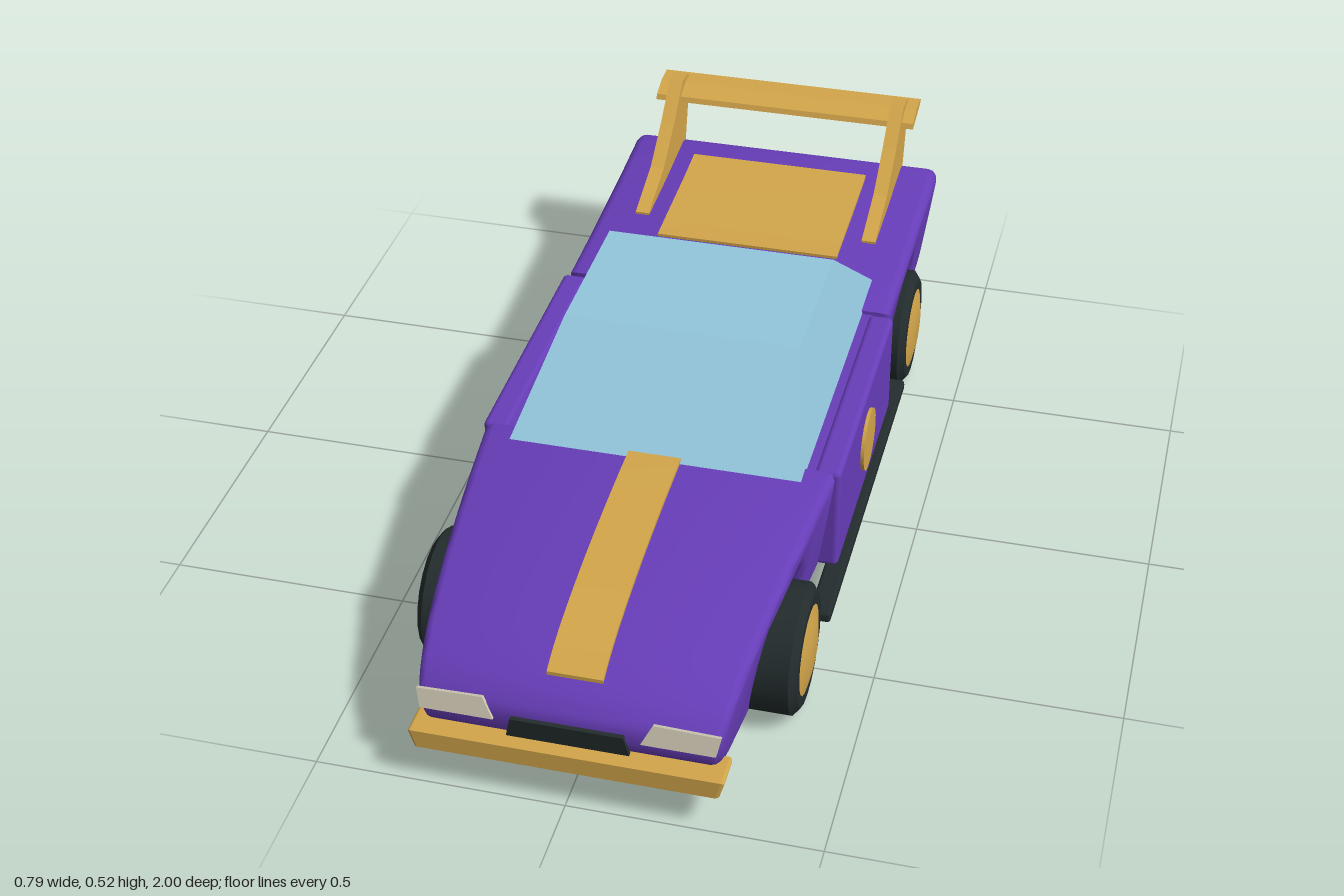
import * as THREE from 'three';
import { toCreasedNormals } from 'three/addons/utils/BufferGeometryUtils.js';
import { RoundedBoxGeometry } from 'three/addons/geometries/RoundedBoxGeometry.js';

const mat = (name, color) => {
  const m = new THREE.MeshStandardMaterial({ color });
  m.name = name;
  return m;
};
const V = (p) => new THREE.Vector2(p[0], p[1]);

export function createModel() {
  const car = new THREE.Group();
  car.name = 'car';
  const purple = mat('purplePaint', 0x673db8);
  const gold = mat('goldPaint', 0xd2a54a);
  const glass = mat('blueGlass', 0x93c6dc);
  const dark = mat('darkRubber', 0x232c2d);
  const cream = mat('creamLamp', 0xcfc9b4);

  const add = (name, geo, material, x = 0, y = 0, z = 0, parent = car) => {
    const m = new THREE.Mesh(geo, material);
    m.name = name;
    m.position.set(x, y, z);
    parent.add(m);
    return m;
  };

  // Extrudes a (z, y) side profile across x, centred on x = 0
  const across = (pts, width, bevel = 0) => {
    const geo = new THREE.ExtrudeGeometry(new THREE.Shape(pts.map(V)), {
      depth: width - 2 * bevel, bevelEnabled: bevel > 0, bevelThickness: bevel,
      bevelSize: bevel, bevelOffset: -bevel, bevelSegments: 3,
    });
    geo.translate(0, 0, -width / 2 + bevel);
    geo.rotateY(-Math.PI / 2);
    return geo;
  };

  // Points of a wheel arch cut through the body; dir 1 runs front to back
  const arch = (zc, dir) => {
    const start = -0.2946, sweep = Math.PI + 2 * 0.2946, pts = [];
    for (let i = 0; i <= 20; i++) {
      const t = dir > 0 ? i / 20 : 1 - i / 20;
      const a = start + sweep * t;
      pts.push([zc + 0.155 * Math.cos(a), 0.135 + 0.155 * Math.sin(a)]);
    }
    return pts;
  };

  // Narrows the body towards the sills and the nose
  const shapeSides = (geo) => {
    const p = geo.attributes.position;
    for (let i = 0; i < p.count; i++) {
      const lean = 1 - 0.09 * THREE.MathUtils.clamp((0.33 - p.getY(i)) / 0.24, 0, 1);
      const taper = 1 - 0.16 * THREE.MathUtils.clamp((p.getZ(i) - 0.29) / 0.67, 0, 1);
      p.setX(i, p.getX(i) * lean * taper);
    }
    return toCreasedNormals(geo, 0.7);
  };

  // Front and rear bodywork
  const hood = new THREE.SplineCurve([[0.285, 0.333], [0.45, 0.326], [0.62, 0.311],
    [0.76, 0.289], [0.86, 0.263], [0.93, 0.228], [0.965, 0.193]].map(V))
    .getPoints(18).map((p) => [p.x, p.y]);
  add('frontBody', shapeSides(across([...hood, [0.972, 0.165], [0.96, 0.13], [0.93, 0.1],
    [0.88, 0.09], ...arch(0.6, 1), [0.285, 0.09]], 0.745, 0.022)), purple);

  const deck = [[-0.318, 0.333], [-0.5, 0.336], [-0.75, 0.346], [-0.915, 0.358]];
  add('rearBody', shapeSides(across([...deck, [-0.938, 0.353], [-0.949, 0.335],
    [-0.952, 0.25], [-0.944, 0.14], [-0.93, 0.105], [-0.9, 0.09],
    ...arch(-0.58, -1), [-0.318, 0.09]], 0.74, 0.022)), purple);

  // Middle section with doors, round badges and sill skirts
  add('cabinFloor', new THREE.BoxGeometry(0.66, 0.235, 0.62), purple, 0, 0.2075, -0.016);
  for (const s of [1, -1]) {
    const side = s > 0 ? 'left' : 'right';
    add(side + 'Door', new RoundedBoxGeometry(0.055, 0.24, 0.598, 3, 0.012), purple,
      s * 0.3505, 0.21, -0.017);
    const disc = new THREE.CylinderGeometry(0.068, 0.068, 0.009, 20);
    disc.rotateZ(Math.PI / 2);
    add(side + 'DoorDisc', disc, gold, s * 0.381, 0.21, -0.015);
    add(side + 'Skirt', new RoundedBoxGeometry(0.045, 0.026, 0.86, 2, 0.008), dark,
      s * 0.373, 0.083, 0.01);
  }

  // Glass cabin: lower and upper rectangles joined by sloping faces
  const cabin = new THREE.BoxGeometry(1, 1, 1).toNonIndexed();
  const cp = cabin.attributes.position;
  for (let i = 0; i < cp.count; i++) {
    const top = cp.getY(i) > 0, front = cp.getZ(i) > 0;
    cp.setXYZ(i, Math.sign(cp.getX(i)) * (top ? 0.25 : 0.307), top ? 0.498 : 0.327,
      front ? (top ? 0.1 : 0.335) : (top ? -0.25 : -0.455));
  }
  cabin.computeVertexNormals();
  add('glassCabin', cabin, glass);

  // Raised strips that follow the hood and the rear deck
  const strip = (pts, width, h) => toCreasedNormals(across(
    [...pts.map(([z, y]) => [z, y + h]), ...pts.map(([z, y]) => [z, y - 0.004]).reverse()],
    width), 0.5);
  const stripeLine = hood.filter(([z]) => z < 0.925 && z > 0.3);
  add('hoodStripe', strip([[0.32, 0.332], ...stripeLine.filter(([z]) => z > 0.33)], 0.11, 0.008), gold);
  add('rearDeckPanel', strip([[-0.86, 0.354], [-0.75, 0.346], [-0.51, 0.336]], 0.42, 0.007), gold);

  // Rear wing and its two struts
  add('wingBlade', across([[-0.89, 0.481], [-0.9, 0.477], [-0.993, 0.496], [-1, 0.504],
    [-0.99, 0.51], [-0.94, 0.508], [-0.895, 0.493]], 0.622), gold);
  for (const s of [1, -1]) {
    add(s > 0 ? 'leftStrut' : 'rightStrut', across([[-0.59, 0.335], [-0.59, 0.345],
      [-0.73, 0.388], [-0.83, 0.455], [-0.915, 0.525], [-0.965, 0.519], [-0.985, 0.505],
      [-0.94, 0.34]], 0.032), gold, s * 0.268, 0, 0);
  }

  // Bumpers
  const bumper = (z0, z1) => across([[z0, 0.082], [z0, 0.125], [z1, 0.125],
    [z1, 0.086], [z1 * 0.985, 0.074], [z0, 0.074]], 0.615, 0.006);
  const frontBumper = add('frontBumper', bumper(0.925, 1), gold);
  const fp = frontBumper.geometry.attributes.position;
  for (let i = 0; i < fp.count; i++) {
    if (fp.getY(i) < 0.1) fp.setX(i, fp.getX(i) * 0.965);
  }
  frontBumper.geometry.computeVertexNormals();
  add('rearBumper', bumper(-0.9, -0.972), gold);

  // Headlamps, grille and tail lamps
  const plate = (pts, depth = 0.009) => new THREE.ExtrudeGeometry(
    new THREE.Shape(pts.map(V)), { depth, bevelEnabled: false });
  for (const s of [1, -1]) {
    const side = s > 0 ? 'left' : 'right';
    const lamp = add(side + 'Headlamp', plate([[-0.152, 0.02], [-0.022, 0.023],
      [0, -0.02], [-0.144, -0.02]].map(([x, y]) => [-s * (x + 0.0), y])), cream,
    s * 0.143, 0.185, 0.965);
    lamp.rotation.x = -0.26;
    add(side + 'TailLamp', new THREE.BoxGeometry(0.13, 0.034, 0.012), gold,
      s * 0.235, 0.252, -0.954);
  }
  const grille = add('grille', plate([[-0.12, -0.023], [0.12, -0.023], [0.11, 0.024],
    [-0.11, 0.024]]), dark, 0, 0.153, 0.967);
  grille.rotation.x = 0.12;

  // Wheels: chamfered tyre with a domed hub on both faces
  const lathe = (pts, crease) => {
    const g = new THREE.LatheGeometry(pts.map(V), 20);
    g.rotateZ(-Math.PI / 2);
    return toCreasedNormals(g, crease);
  };
  const tyre = lathe([[0, -0.057], [0.115, -0.057], [0.133, -0.043], [0.133, 0.043],
    [0.115, 0.057], [0, 0.057]], 0.4);
  const hub = lathe([[0, -0.066], [0.055, -0.065], [0.092, -0.057], [0.092, 0.057],
    [0.055, 0.065], [0, 0.066]], 0.4);
  for (const [end, z] of [['front', 0.6], ['rear', -0.58]]) {
    for (const s of [1, -1]) {
      const wheel = new THREE.Group();
      wheel.name = end + (s > 0 ? 'Left' : 'Right') + 'Wheel';
      wheel.position.set(s * 0.327, 0.133, z);
      add('tyre', tyre, dark, 0, 0, 0, wheel);
      add('hub', hub, gold, 0, 0, 0, wheel);
      car.add(wheel);
    }
  }
  return car;
}
